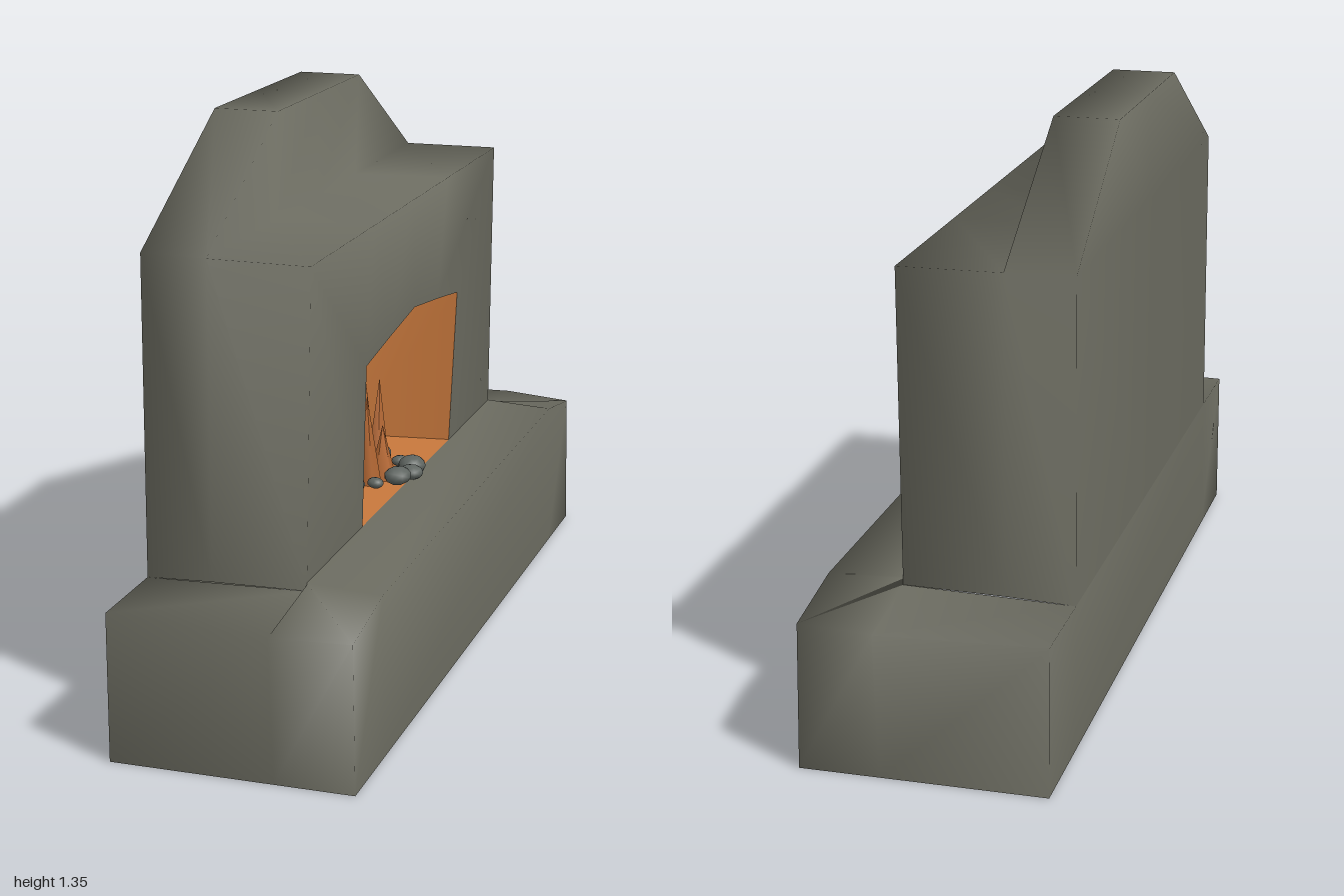
import * as THREE from 'three';
import { mergeVertices } from 'three/addons/utils/BufferGeometryUtils.js';

const stone = new THREE.MeshStandardMaterial({ color: 0x6b6b60, side: THREE.DoubleSide, name: 'stone' });
const ember = new THREE.MeshStandardMaterial({ color: 0xc8783c, side: THREE.DoubleSide, name: 'emberOrange' });
const flameMat = new THREE.MeshStandardMaterial({ color: 0xb86a34, name: 'flameOrange' });
const rock = new THREE.MeshStandardMaterial({ color: 0x5e6460, name: 'rockGrey' });

// Mirror half a row of [x, y, z] points across z = 0
const mirror = (half) => [...half, ...half.map(([x, y, z]) => [x, y, -z]).reverse()];

// Smooth skin stretched over mirrored rows of points
function skin(name, halves, material, closed = false) {
  const rows = halves.map(mirror);
  const n = rows[0].length;
  const index = [];
  for (let i = 0; i < rows.length - 1; i++) {
    for (let j = 0; j < (closed ? n : n - 1); j++) {
      const a = i * n + j, b = i * n + (j + 1) % n;
      index.push(a, a + n, b, b, a + n, b + n);
    }
  }
  let geo = new THREE.BufferGeometry();
  geo.setAttribute('position', new THREE.Float32BufferAttribute(rows.flat(2), 3));
  geo.setIndex(index);
  geo = mergeVertices(geo, 1e-4);
  geo.computeVertexNormals();
  const mesh = new THREE.Mesh(geo, material);
  mesh.name = name;
  return mesh;
}

export function createModel() {
  const model = new THREE.Group();
  model.name = 'fireplace';

  // Hearth base: ground outline, top rim, then inward to the chimney body
  model.add(skin('hearthBase', [
    [[0.285, 0, 0.76], [0.285, 0, 0.97], [0.1, 0, 0.97], [-0.285, 0, 0.97], [-0.285, 0, 0.735]],
    [[0.28, 0.38, 0.76], [0.28, 0.345, 0.97], [0.1, 0.35, 1], [-0.285, 0.35, 0.97], [-0.285, 0.35, 0.735]],
    [[0.105, 0.39, 0.76], [0.105, 0.385, 0.76], [0.105, 0.37, 0.76], [-0.285, 0.35, 0.735], [-0.285, 0.35, 0.735]],
  ], stone, true));

  // Chimney body: back face, tall hood slab, step, front block, opening edge
  const arch = [[0.12, 0.785, 0.38], [0.12, 0.81, 0.2], [0.12, 0.835, 0]];
  const back = [[-0.285, 0.35, 0.735], [-0.283, 1.1, 0.735], [-0.275, 1.35, 0.3], [-0.275, 1.35, 0]];
  model.add(skin('chimneyBody', [
    back.map(([x, y]) => [x, y, 0]),
    back,
    [[-0.125, 0.36, 0.745], [-0.125, 1.1, 0.745], [-0.12, 1.35, 0.3], [-0.12, 1.35, 0]],
    [[-0.125, 0.36, 0.745], [-0.125, 1.1, 0.745], [-0.13, 1.095, 0.3], [-0.13, 1.095, 0]],
    [[0.105, 0.37, 0.76], [0.115, 1.1, 0.75], [0.115, 1.1, 0.3], [0.115, 1.1, 0]],
    [[0.105, 0.39, 0.365], ...arch],
  ], stone));

  // Firebox: curved wall, floor and ceiling
  const foot = [[0.105, 0.39, 0.365], [-0.17, 0.39, 0.33], [-0.26, 0.39, 0.21], [-0.27, 0.39, 0]];
  const head = [arch[0], [-0.17, 0.787, 0.34], [-0.26, 0.798, 0.21], [-0.27, 0.812, 0]];
  model.add(skin('fireboxWall', [head, foot], ember));
  model.add(skin('fireboxFloor', [foot, foot.map(([x, y]) => [x, y, 0])], ember));
  model.add(skin('fireboxCeiling', [arch, head.slice(1)], stone));

  // Fire: leaning flames inside a ring of stones
  const fire = new THREE.Group();
  fire.name = 'fire';
  fire.position.set(-0.01, 0.39, -0.01);
  const flames = [ // x, z, height, radius, lean along z
    [0, 0.01, 0.29, 0.04, 0], [0.03, 0.06, 0.23, 0.03, 0.08], [0.02, -0.04, 0.24, 0.032, -0.06],
    [-0.05, 0.03, 0.2, 0.03, 0.06], [-0.04, -0.04, 0.18, 0.03, -0.1], [0.05, 0.01, 0.14, 0.035, 0.03],
  ];
  for (const [x, z, h, r, lean] of flames) {
    const geo = new THREE.ConeGeometry(r, h, 5);
    geo.translate(0, h / 2, 0);
    const flame = new THREE.Mesh(geo, flameMat);
    flame.name = 'flame';
    flame.position.set(x, 0, z);
    flame.rotation.set(lean, x * 20, 0);
    fire.add(flame);
  }
  const count = 12;
  for (let i = 0; i < count; i++) {
    const a = (i / count) * Math.PI * 2;
    const pebble = new THREE.Mesh(new THREE.IcosahedronGeometry(0.032, 1), rock);
    pebble.name = 'fireStone';
    const s = 0.85 + 0.25 * Math.sin(i * 2.4);
    pebble.scale.set(1.15 * s, 0.7 * s, s);
    pebble.position.set(Math.cos(a) * 0.12, 0.02 + 0.008 * Math.sin(i * 1.7), Math.sin(a) * 0.12);
    pebble.rotation.y = i * 1.3;
    fire.add(pebble);
  }
  model.add(fire);
  return model;
}
